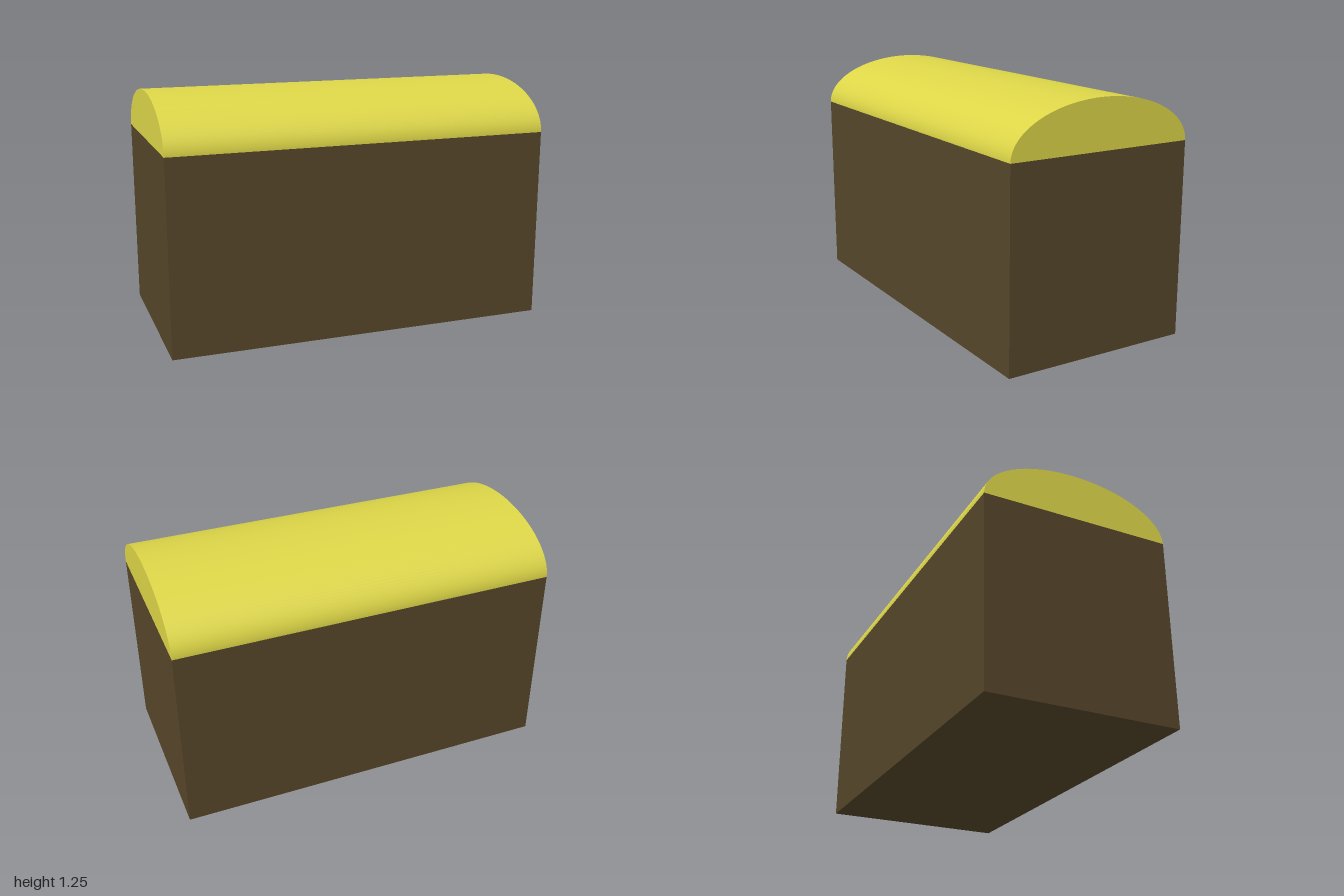
import * as THREE from 'three';

const LENGTH = 2, DEPTH = 1, BODY_HEIGHT = 1, LID_HEIGHT = 0.25;

function addPart(group, name, geometry, color, y) {
  const mesh = new THREE.Mesh(geometry, new THREE.MeshStandardMaterial({ color }));
  mesh.name = name;
  mesh.position.y = y;
  group.add(mesh);
}

export function createModel() {
  const chest = new THREE.Group();
  chest.name = 'chest';

  // Box-shaped body
  addPart(chest, 'body', new THREE.BoxGeometry(LENGTH, BODY_HEIGHT, DEPTH), 0x56462a, BODY_HEIGHT / 2);

  // Domed lid: half cylinder laid along x, flattened to an ellipse
  const lid = new THREE.CylinderGeometry(1, 1, LENGTH, 64, 1, false, 0, Math.PI);
  lid.rotateZ(Math.PI / 2);
  lid.scale(1, LID_HEIGHT, DEPTH / 2);
  addPart(chest, 'lid', lid, 0xddd648, BODY_HEIGHT);

  return chest;
}
